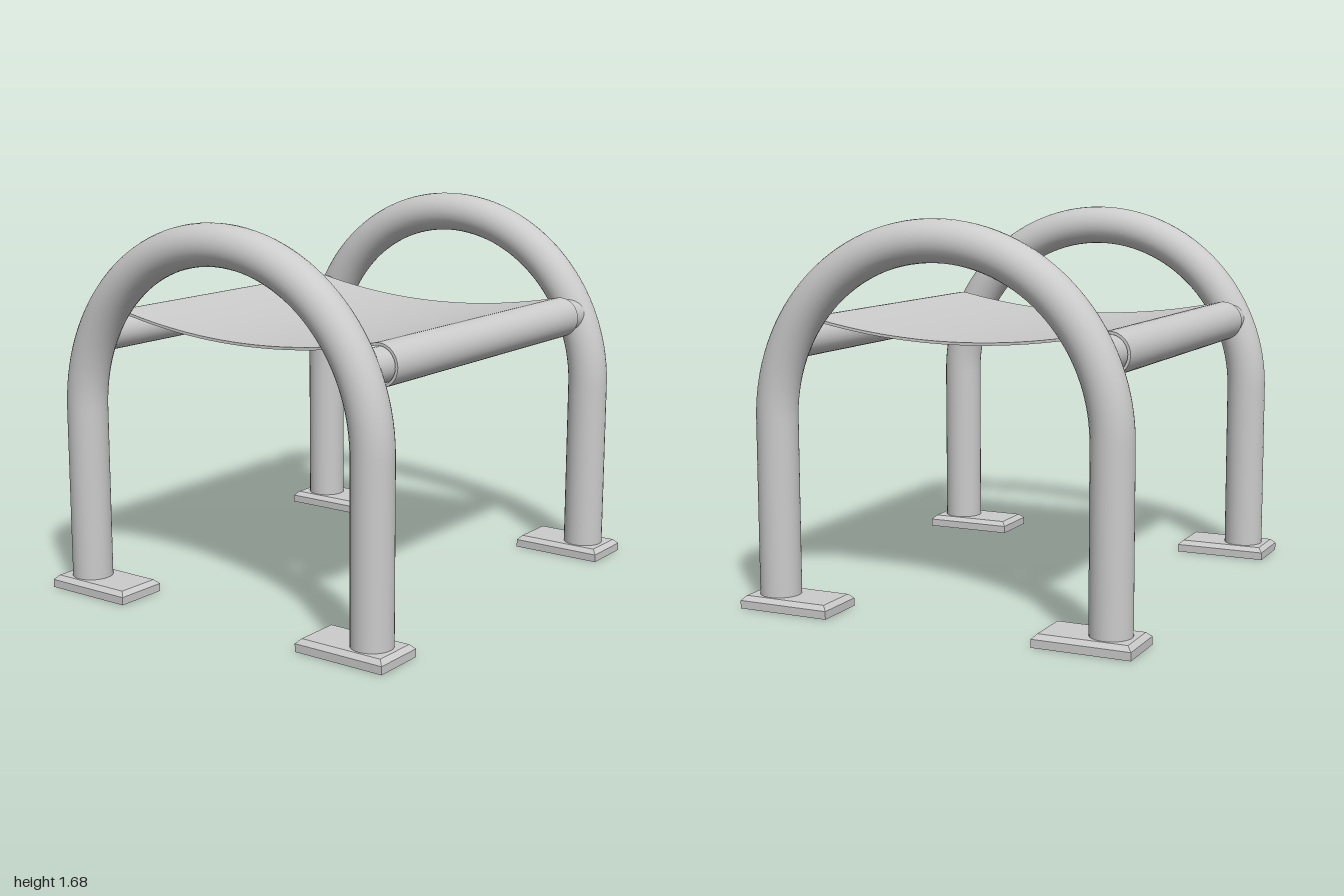
import * as THREE from 'three';
import { toCreasedNormals } from 'three/addons/utils/BufferGeometryUtils.js';

const material = new THREE.MeshStandardMaterial({ color: 0xcccccc });
const shellMaterial = new THREE.MeshStandardMaterial({ color: 0xcccccc, side: THREE.DoubleSide });

const HOOP_R = 0.77, TUBE_R = 0.09, SPRING_Y = 0.825, HOOP_Z = 0.88, LEG_Y = 0.05;
const RAIL_X = 0.695, RAIL_Y = 1.156;

// Two straight legs joined by a half circle
class HoopCurve extends THREE.Curve {
  getPoint(t, target = new THREE.Vector3()) {
    const leg = SPRING_Y - LEG_Y, arc = Math.PI * HOOP_R;
    const s = t * (2 * leg + arc);
    if (s < leg) return target.set(-HOOP_R, LEG_Y + s, 0);
    if (s > leg + arc) return target.set(HOOP_R, SPRING_Y - (s - leg - arc), 0);
    const a = Math.PI - (s - leg) / HOOP_R;
    return target.set(HOOP_R * Math.cos(a), SPRING_Y + HOOP_R * Math.sin(a), 0);
  }
}

// Hollow rectangular foot, chamfered at the top and open below
function footGeometry(w, d, h, c) {
  const rings = [[0, 0], [h - c, 0], [h, c]];
  const pos = [], index = [];
  for (const [y, inset] of rings) {
    const x = w / 2 - inset, z = d / 2 - inset;
    pos.push(-x, y, z, x, y, z, x, y, -z, -x, y, -z);
  }
  for (let r = 0; r < 2; r++) {
    for (let i = 0; i < 4; i++) {
      const a = r * 4 + i, b = r * 4 + (i + 1) % 4;
      index.push(a, b, b + 4, a, b + 4, a + 4);
    }
  }
  index.push(8, 9, 10, 8, 10, 11);
  const geometry = new THREE.BufferGeometry();
  geometry.setAttribute('position', new THREE.Float32BufferAttribute(pos, 3));
  geometry.setIndex(index);
  return toCreasedNormals(geometry, 0.4);
}

// Sagging cloth that curls over both rails, extruded along z
function slingGeometry(length, thickness) {
  const half = [];
  const R = 0.085, touch = THREE.MathUtils.degToRad(102.5), end = THREE.MathUtils.degToRad(-66);
  const edgeX = RAIL_X + R * Math.cos(touch);
  const edgeY = RAIL_Y + R * Math.sin(touch);
  const low = 1.165;
  for (let i = 0; i < 12; i++) {
    const u = i / 12;
    half.push(new THREE.Vector2(u * edgeX, low + (edgeY - low) * u * u));
  }
  for (let i = 0; i <= 20; i++) {
    const a = touch + (end - touch) * i / 20;
    half.push(new THREE.Vector2(RAIL_X + R * Math.cos(a), RAIL_Y + R * Math.sin(a)));
  }
  const line = [...half.slice(1).reverse().map(p => new THREE.Vector2(-p.x, p.y)), ...half];
  const offset = (side) => line.map((p, i) => {
    const a = line[Math.max(i - 1, 0)], b = line[Math.min(i + 1, line.length - 1)];
    const t = b.clone().sub(a).normalize();
    return new THREE.Vector2(p.x - t.y * side, p.y + t.x * side);
  });
  const shape = new THREE.Shape([...offset(-thickness / 2), ...offset(thickness / 2).reverse()]);
  const geometry = new THREE.ExtrudeGeometry(shape, { depth: length, bevelEnabled: false });
  geometry.translate(0, 0, -length / 2);
  return toCreasedNormals(geometry, 0.6);
}

export function createModel() {
  const model = new THREE.Group();
  model.name = 'slingStool';

  const add = (name, geometry, x, y, z, mat = material) => {
    const mesh = new THREE.Mesh(geometry, mat);
    mesh.name = name;
    mesh.position.set(x, y, z);
    model.add(mesh);
    return mesh;
  };

  // Front and back hoops, each standing on two feet
  const hoop = new THREE.TubeGeometry(new HoopCurve(), 96, TUBE_R, 28);
  const foot = footGeometry(0.425, 0.24, 0.055, 0.02);
  for (const [zName, zs] of [['front', 1], ['back', -1]]) {
    add(zName + 'Hoop', hoop, 0, 0, zs * HOOP_Z);
    for (const [xName, xs] of [['Left', 1], ['Right', -1]]) {
      add(zName + xName + 'Foot', foot, xs * 0.6875, 0, zs * HOOP_Z, shellMaterial);
    }
  }

  // Side rails joining the hoops
  const rail = new THREE.CylinderGeometry(0.075, 0.075, 1.68, 28).rotateX(Math.PI / 2);
  add('leftRail', rail, RAIL_X, RAIL_Y, 0);
  add('rightRail', rail, -RAIL_X, RAIL_Y, 0);

  // Sling seat
  add('slingSeat', slingGeometry(1.47, 0.012), 0, 0, 0);

  return model;
}
